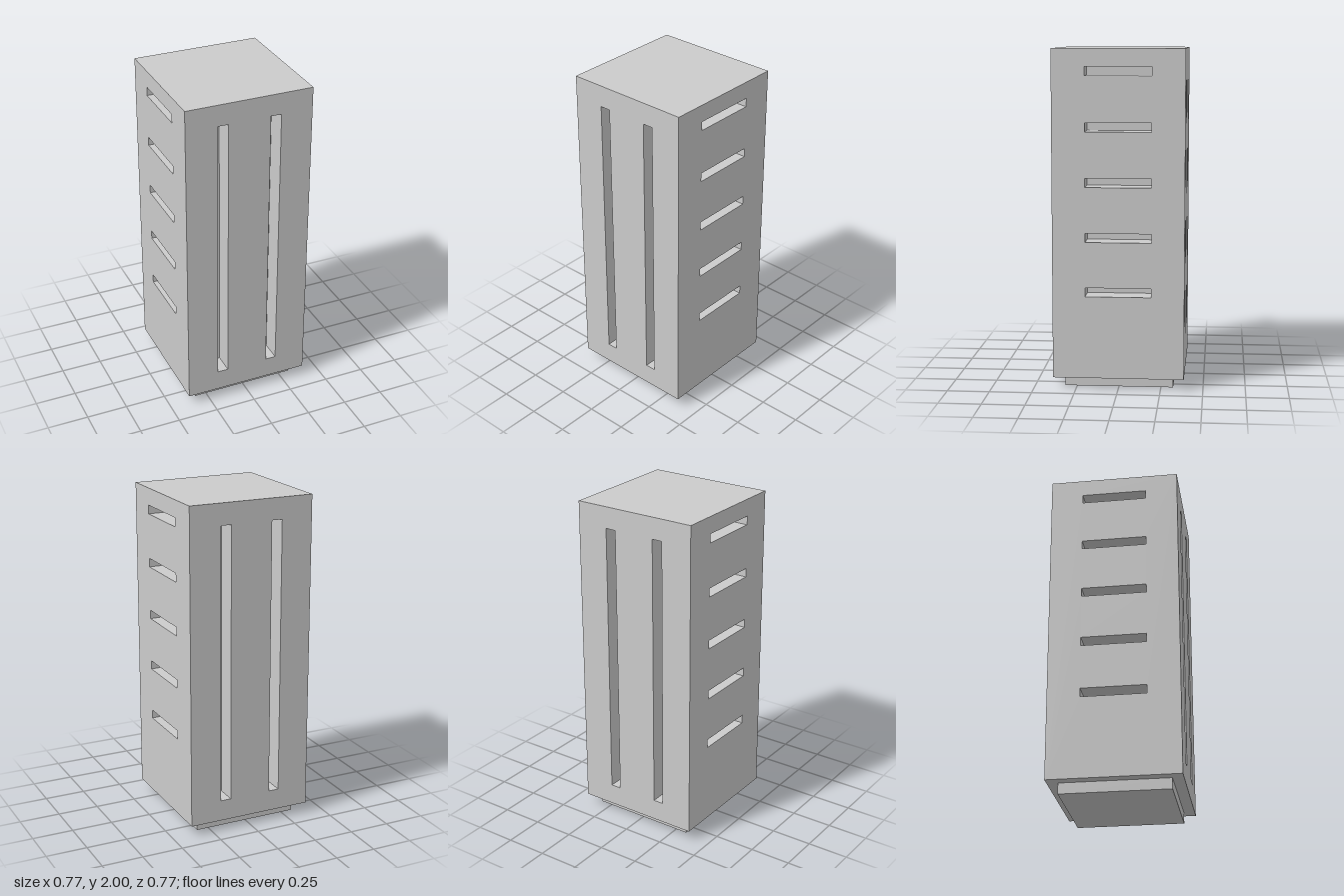
import * as THREE from 'three';
import { mergeGeometries } from 'three/addons/utils/BufferGeometryUtils.js';

const U = 2 / 31;          // design unit: the body is 12 x 30 x 12, the plinth 10 x 1 x 10
const HALF = 6 * U, BOTTOM = U, TOP = 31 * U, DEPTH = 2 * U;

// Rectangular outline around (x, y)
function rect(Type, { x, y, w, h }) {
  return new Type([
    new THREE.Vector2(x - w / 2, y - h / 2), new THREE.Vector2(x + w / 2, y - h / 2),
    new THREE.Vector2(x + w / 2, y + h / 2), new THREE.Vector2(x - w / 2, y + h / 2),
  ]);
}

// Floor and four inward-facing walls of a slot sunk behind z = 0
function recess({ x, y, w, h }) {
  const q = Math.PI / 2, mid = -DEPTH / 2;
  return mergeGeometries([
    new THREE.PlaneGeometry(w, h).translate(0, 0, -DEPTH),
    new THREE.PlaneGeometry(DEPTH, h).rotateY(q).translate(-w / 2, 0, mid),
    new THREE.PlaneGeometry(DEPTH, h).rotateY(-q).translate(w / 2, 0, mid),
    new THREE.PlaneGeometry(w, DEPTH).rotateX(-q).translate(0, -h / 2, mid),
    new THREE.PlaneGeometry(w, DEPTH).rotateX(q).translate(0, h / 2, mid),
  ]).translate(x, y, 0);
}

// One body wall with its slots cut in, turned to face its side
function wall(slots, angle) {
  const shape = rect(THREE.Shape, { x: 0, y: (BOTTOM + TOP) / 2, w: HALF * 2, h: TOP - BOTTOM });
  shape.holes = slots.map((s) => rect(THREE.Path, s));
  return mergeGeometries([new THREE.ShapeGeometry(shape), ...slots.map(recess)])
    .translate(0, 0, HALF).rotateY(angle);
}

export function createModel() {
  const group = new THREE.Group();
  const material = new THREE.MeshStandardMaterial({ color: 0xcccccc, flatShading: true });
  const add = (name, geometry) => {
    const mesh = new THREE.Mesh(geometry, material);
    mesh.name = name;
    group.add(mesh);
  };

  // Two tall slots on front and back, five short level slots on each side
  const tall = [-1, 1].map((s) => ({ x: s * 2.5 * U, y: 16 * U, w: U, h: 26 * U }));
  const level = [9, 14, 19, 24, 29].map((y) => ({ x: 0, y: y * U, w: 6 * U, h: 0.82 * U }));
  add('frontWall', wall(tall, 0));
  add('backWall', wall(tall, Math.PI));
  add('leftWall', wall(level, Math.PI / 2));
  add('rightWall', wall(level, -Math.PI / 2));

  // Flat lid and underside closing the body
  add('lid', new THREE.PlaneGeometry(HALF * 2, HALF * 2).rotateX(-Math.PI / 2).translate(0, TOP, 0));
  add('underside', new THREE.PlaneGeometry(HALF * 2, HALF * 2).rotateX(Math.PI / 2).translate(0, BOTTOM, 0));

  // Inset plinth
  add('plinth', new THREE.BoxGeometry(10 * U, U, 10 * U).translate(0, U / 2, 0));
  return group;
}
